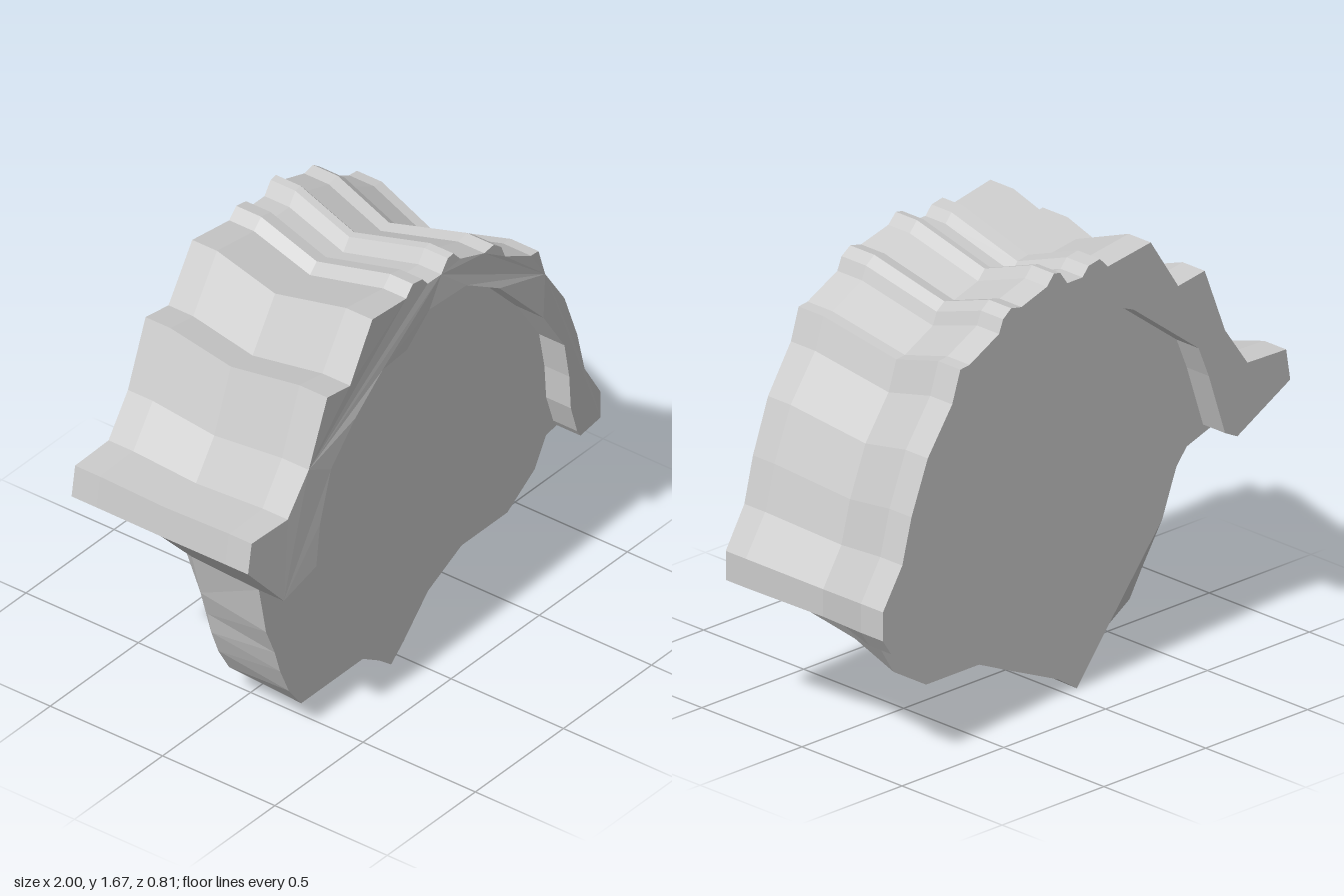
import * as THREE from 'three';

const pairs = (a) => {
  const out = [];
  for (let i = 0; i < a.length; i += 2) out.push([a[i], a[i + 1]]);
  return out;
};

// Rugged upper outline, from the spur on the left over the top to the right
const upper = pairs([
  -1, 0.93, -0.98, 1.05, -0.79, 1.055, -0.68, 1.21, -0.58, 1.465, -0.45, 1.445,
  -0.315, 1.65, -0.105, 1.62, -0.065, 1.66, -0.01, 1.65, 0.02, 1.615, 0.095, 1.615,
  0.13, 1.665, 0.16, 1.67, 0.195, 1.63, 0.32, 1.59, 0.37, 1.6, 0.41, 1.57,
  0.43, 1.52, 0.575, 1.445, 0.62, 1.44, 0.66, 1.32, 0.78, 1.15, 0.86, 0.95,
  0.905, 0.78, 1, 0.63, 1, 0.52,
]);

// Lower outlines, right to left, with matching point counts
const lowerFront = pairs([
  0.88, 0.51, 0.82, 0.5, 0.755, 0.39, 0.6, 0.29, 0.34, 0.29, 0.15, 0.2, 0.01, 0.06,
  -0.06, 0, -0.13, 0.055, -0.22, 0.11, -0.57, 0.11, -0.64, 0.2, -0.69, 0.31,
  -0.72, 0.405, -0.77, 0.52, -0.81, 0.72,
]);
const lowerBack = pairs([
  0.96, 0.46, 0.91, 0.44, 0.84, 0.325, 0.68, 0.23, 0.42, 0.23, 0.25, 0.155, 0.03, 0.06,
  -0.06, 0, -0.14, 0.1, -0.22, 0.2, -0.35, 0.36, -0.48, 0.52, -0.53, 0.65,
  -0.55, 0.7, -0.6, 0.76, -0.72, 0.8,
]);
const midLeft = pairs([
  -0.06, 0.005, -0.13, 0.06, -0.21, 0.12, -0.56, 0.12, -0.62, 0.22, -0.66, 0.32,
  -0.68, 0.41, -0.72, 0.52, -0.77, 0.7,
]);
const midRight = lowerFront.slice(0, 7).map(([x, y], i) => [
  x + (lowerBack[i][0] - x) * 0.4,
  y + (lowerBack[i][1] - y) * 0.4,
]);

// Inner edges of the raised rims, right to left
const innerFront = pairs([
  0.88, 0.51, 0.86, 0.54, 0.82, 0.66, 0.81, 0.8, 0.78, 0.95, 0.65, 1.14, 0.4, 1.4,
  0.23, 1.5, 0.03, 1.5, -0.1, 1.4, -0.25, 1.4, -0.42, 1.29, -0.56, 1.15,
  -0.62, 0.95, -0.64, 0.78, -0.81, 0.72,
]);
const innerBack = pairs([
  0.96, 0.46, 0.91, 0.45, 0.82, 0.66, 0.77, 0.88, 0.68, 1.1, 0.565, 1.29, 0.46, 1.42,
  0.26, 1.5, -0.03, 1.5, -0.23, 1.42, -0.43, 1.27, -0.55, 1.18, -0.6, 1.06,
  -0.68, 0.82, -0.74, 0.79,
]);

const toShape = (pts) => new THREE.Shape(pts.map(([x, y]) => new THREE.Vector2(x, y)));

// Skin between successive closed sections of equal length
function loft(sections) {
  const pos = [];
  for (let s = 0; s < sections.length - 1; s++) {
    const A = sections[s], B = sections[s + 1], n = A.pts.length;
    for (let i = 0; i < n; i++) {
      const j = (i + 1) % n;
      const a = [...A.pts[i], A.z], b = [...A.pts[j], A.z];
      const c = [...B.pts[i], B.z], d = [...B.pts[j], B.z];
      pos.push(...a, ...b, ...c, ...b, ...d, ...c);
    }
  }
  const g = new THREE.BufferGeometry();
  g.setAttribute('position', new THREE.Float32BufferAttribute(pos, 3));
  g.computeVertexNormals();
  return g;
}

// Raised rim with a slightly uneven front
function rim(inner, z0, z1, ripple) {
  const g = new THREE.ExtrudeGeometry(toShape([...upper, ...inner]), {
    depth: z1 - z0, bevelEnabled: false,
  });
  g.translate(0, 0, z0);
  const p = g.attributes.position;
  for (let i = 0; i < p.count; i++) {
    if (p.getZ(i) > z1 - 0.01) p.setZ(i, z1 + ripple * Math.sin(3 * p.getX(i)) ** 2);
  }
  g.computeVertexNormals();
  return g;
}

export function createModel() {
  const group = new THREE.Group();
  const mat = new THREE.MeshStandardMaterial({
    color: 0xcccccc, flatShading: true, side: THREE.DoubleSide,
  });
  const add = (name, geometry, z = 0) => {
    const mesh = new THREE.Mesh(geometry, mat);
    mesh.name = name;
    mesh.position.z = z;
    group.add(mesh);
  };

  // Body with a pinched waist running around the middle
  const front = [...upper, ...lowerFront];
  const waist = [...upper.map(([x, y]) => [x * 0.945, y * 0.947]), ...midRight, ...midLeft];
  const back = [...upper, ...lowerBack];
  add('body', loft([{ pts: front, z: 0.28 }, { pts: waist, z: -0.05 }, { pts: back, z: -0.295 }]));
  add('frontFace', new THREE.ShapeGeometry(toShape(front)), 0.28);
  add('backFace', new THREE.ShapeGeometry(toShape(back)), -0.295);

  // Raised rims on both faces
  add('frontRim', rim(innerFront, 0.28, 0.38, 0.025));
  add('backRim', rim(innerBack, -0.405, -0.295, 0));
  return group;
}
